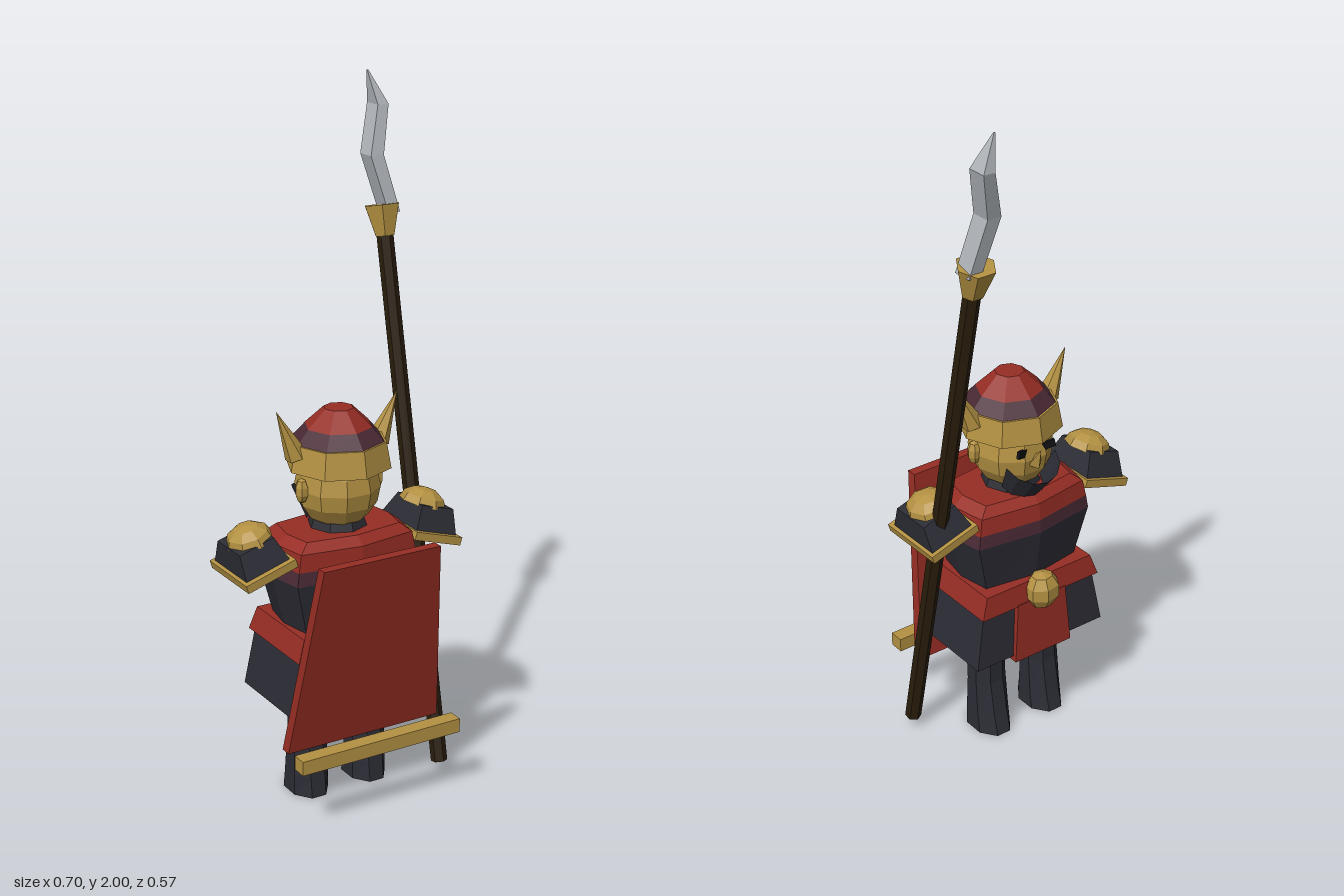
import * as THREE from 'three';

const mat = (name, color) => {
  const m = new THREE.MeshStandardMaterial({ color });
  m.name = name;
  return m;
};

// Faceted normals for the low-poly look
function facet(geo) {
  const g = geo.index ? geo.toNonIndexed() : geo;
  g.computeVertexNormals();
  return g;
}

// Skin closed rings of [x, y, z], each counter-clockwise seen from above
function loft(rings) {
  const n = rings[0].length, idx = [];
  for (let i = 0; i < rings.length - 1; i++)
    for (let j = 0; j < n; j++) {
      const a = i * n + j, b = i * n + (j + 1) % n;
      idx.push(a, b, b + n, a, b + n, a + n);
    }
  const top = (rings.length - 1) * n;
  for (let j = 1; j < n - 1; j++) idx.push(0, j + 1, j, top, top + j, top + j + 1);
  const g = new THREE.BufferGeometry();
  g.setAttribute('position', new THREE.Float32BufferAttribute(rings.flat(2), 3));
  g.setIndex(idx);
  return g;
}

const rect = (y, x0, x1, z0, z1) => [[x1, y, z1], [x1, y, z0], [x0, y, z0], [x0, y, z1]];

// Pointed eight-sided body section
const oct = (y, hx, z0, z1) => {
  const c = (z0 + z1) / 2, h = (z1 - z0) / 2;
  return [[1, 0], [0.9, -0.8], [0, -1], [-0.9, -0.8], [-1, 0], [-0.9, 0.8], [0, 1], [0.9, 0.8]]
    .map(([x, z]) => [x * hx, y, c + z * h]);
};

const round = (y, x, z, rx, rz) => Array.from({ length: 8 }, (_, i) => {
  const a = (i + 0.5) * Math.PI / 4;
  return [x + rx * Math.cos(a), y, z - rz * Math.sin(a)];
});

export function createModel() {
  const red = mat('red cloth', 0x962d24), dark = mat('dark armour', 0x2c2c35),
    gold = mat('gold', 0xb39142), plum = mat('plum trim', 0x4a2a35),
    wood = mat('dark wood', 0x2a1e0d), steel = mat('steel', 0xb2b6bb),
    black = mat('black', 0x121214);
  const maskMat = mat('mask armour', 0x2c2c35);
  maskMat.side = THREE.DoubleSide;

  const model = new THREE.Group();
  model.name = 'guard';
  const add = (name, geo, material, pos = [0, 0, 0], parent = model) => {
    const m = new THREE.Mesh(facet(geo), material);
    m.name = name;
    m.position.set(...pos);
    parent.add(m);
    return m;
  };

  // Torso, in colour bands up to the collar
  add('chest', loft([oct(0.52, 0.17, -0.08, 0.155), oct(0.69, 0.215, -0.105, 0.178)]), dark);
  add('chestBand', loft([oct(0.69, 0.215, -0.105, 0.178), oct(0.73, 0.208, -0.102, 0.175)]), plum);
  add('collar', loft([oct(0.73, 0.208, -0.102, 0.175), oct(0.78, 0.198, -0.095, 0.17),
    oct(0.805, 0.165, -0.07, 0.145)]), red);
  add('neck', new THREE.CylinderGeometry(0.07, 0.09, 0.06, 8), dark, [0, 0.82, 0.035]);

  // Belt, skirt and cloth tabs
  add('belt', loft([rect(0.475, -0.207, 0.207, -0.11, 0.178), rect(0.54, -0.185, 0.185, -0.1, 0.168)]), red);
  add('skirt', loft([rect(0.31, -0.225, 0.225, -0.107, 0.175), rect(0.48, -0.195, 0.195, -0.095, 0.165)]), dark);
  add('frontTab', loft([rect(0.295, -0.1, 0.1, -0.12, -0.09), rect(0.48, -0.085, 0.085, -0.112, -0.08)]), red);
  add('buckle', new THREE.SphereGeometry(0.056, 7, 5).scale(1, 1.05, 0.85), gold, [0, 0.505, -0.112]);

  // Cape and its hem bar
  add('cape', loft([rect(0.215, -0.245, 0.245, 0.15, 0.183), rect(0.78, -0.185, 0.185, 0.247, 0.278)]), red);
  add('capeBar', new THREE.BoxGeometry(0.514, 0.042, 0.045), gold, [0, 0.218, 0.262]);

  // Head, facing the side away from the cape
  add('head', new THREE.SphereGeometry(0.122, 10, 8).scale(0.98, 1, 1), gold, [0, 0.92, 0.035]);
  add('nose', new THREE.ConeGeometry(0.022, 0.06, 4).rotateX(-0.5), gold, [0, 0.93, -0.09]);
  const mask = add('jawGuard',
    new THREE.CylinderGeometry(0.085, 0.065, 0.1, 6, 1, true, Math.PI / 2, Math.PI), maskMat, [0, 0.865, -0.035]);
  mask.rotation.x = -0.5;

  // Helmet
  add('helmetBrim', new THREE.CylinderGeometry(0.136, 0.15, 0.075, 8), gold, [0, 1.018, 0.04]);
  add('helmetBand', new THREE.CylinderGeometry(0.095, 0.13, 0.04, 8), plum, [0, 1.075, 0.04]);
  add('helmetDome', new THREE.CylinderGeometry(0.042, 0.096, 0.051, 8), red, [0, 1.12, 0.04]);

  for (const s of [1, -1]) {
    const side = s > 0 ? 'left' : 'right';
    // Face details and horns
    add(side + 'Eye', new THREE.BoxGeometry(0.042, 0.022, 0.009).rotateZ(s * 0.25).rotateY(s * 0.35), black,
      [s * 0.045, 0.948, -0.077]);
    add(side + 'Ear', new THREE.SphereGeometry(0.03, 6, 5).scale(0.65, 1.2, 0.75), gold, [s * 0.12, 0.925, 0.045]);
    const horn = add(side + 'Horn', new THREE.ConeGeometry(0.033, 0.15, 6).translate(0, 0.075, 0), gold,
      [s * 0.13, 1.025, 0.035]);
    horn.rotation.z = -s * 0.43;

    // Legs
    const x = s * 0.097;
    add(side + 'Leg', loft([round(0, x, 0.02, 0.06, 0.084), round(0.06, x, 0.024, 0.06, 0.072),
      round(0.17, x, 0.027, 0.058, 0.054), round(0.33, x, 0.035, 0.055, 0.06)]), dark);

    // Shoulder guards, sloping down outwards
    const pad = new THREE.Group();
    pad.name = side + 'ShoulderGuard';
    pad.position.set(s * 0.268, 0.738, 0.037);
    pad.rotation.z = -s * 0.3;
    model.add(pad);
    add('padPlate', new THREE.BoxGeometry(0.16, 0.024, 0.214), gold, [0, 0, 0], pad);
    add('padBody', loft([rect(0.01, -0.07, 0.07, -0.095, 0.09), rect(0.08, -0.055, 0.055, -0.064, 0.064)]),
      dark, [0, 0, 0], pad);
    add('padDome', new THREE.SphereGeometry(0.067, 8, 3, 0, Math.PI * 2, 0, Math.PI / 2).scale(1, 0.7, 1.05),
      gold, [s * -0.01, 0.073, 0], pad);
  }

  // Spear shaft and socket share one lean
  const spear = new THREE.Group();
  spear.name = 'spear';
  spear.position.set(0.285, 0.035, 0.142);
  spear.rotation.x = -0.212;
  model.add(spear);
  add('shaft', new THREE.CylinderGeometry(0.024, 0.024, 1.56, 6), wood, [0, 0.78, 0], spear);
  add('socket', new THREE.CylinderGeometry(0.055, 0.03, 0.088, 6).rotateY(Math.PI / 2), gold, [0, 1.587, 0], spear);

  // Crooked blade
  const blade = [[1.61, 0.288, 0.326, -0.198], [1.77, 0.246, 0.288, -0.226],
    [1.905, 0.287, 0.322, -0.258], [1.998, 0.274, 0.278, -0.268]];
  add('blade', loft(blade.map(([y, x0, x1, z], i) => {
    const h = i === 3 ? 0.002 : 0.029;
    return rect(y, x0, x1, z - h, z + h);
  })), steel);

  return model;
}
